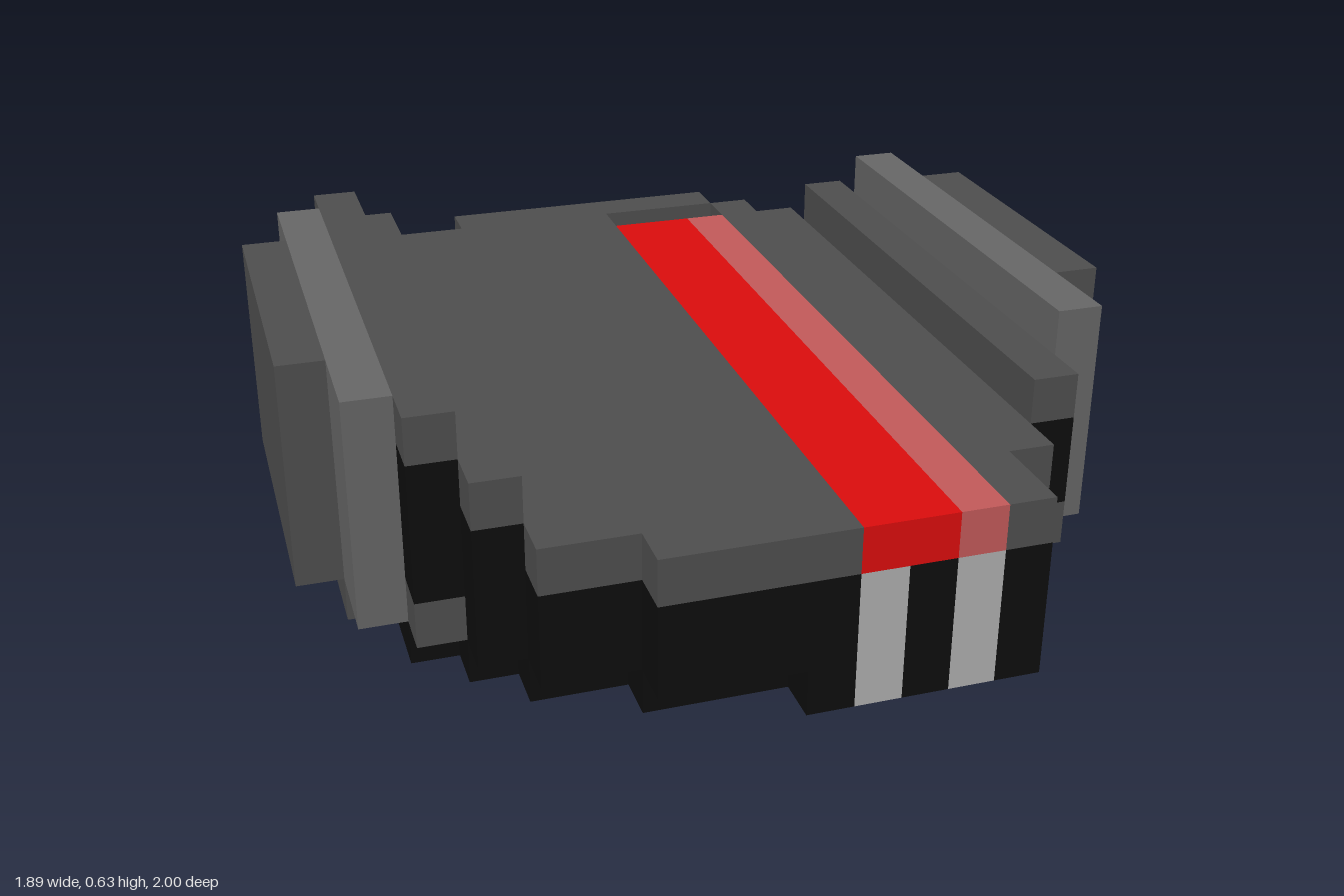
import * as THREE from 'three';

const U = 2 / 19; // size of one block

const mats = {};
const mat = (color) => (mats[color] ??= new THREE.MeshStandardMaterial({ color, flatShading: true }));
const GREY = 0x4f4f4f, LIGHT = 0x676767, BLACK = 0x0d0d0d, WHITE = 0xb0b0b0, RED = 0xdd0d0d, PINK = 0xc45a5a;

export function createModel() {
  const model = new THREE.Group();

  // Stepped slab from layer k0 to k1; each column is [x start, x end, z start, z end] in blocks
  function slab(name, color, k0, k1, ...columns) {
    const back = [], front = [];
    for (const [i0, i1, j0, j1] of columns) {
      back.push([i0, j0], [i1, j0]);
      front.push([i0, j1], [i1, j1]);
    }
    const outline = [...back, ...front.reverse()]
      .filter((p, n, a) => n === 0 || p[0] !== a[n - 1][0] || p[1] !== a[n - 1][1])
      .map(([i, j]) => new THREE.Vector2((i - 9) * U, (j - 9.5) * U));
    const geo = new THREE.ExtrudeGeometry(new THREE.Shape(outline), { depth: (k1 - k0) * U, bevelEnabled: false });
    geo.rotateX(Math.PI / 2).translate(0, k1 * U, 0);
    const mesh = new THREE.Mesh(geo, mat(color));
    mesh.name = name;
    model.add(mesh);
  }

  // Inset bottom layer, slotted for the pale runners
  slab('base', BLACK, 0, 1,
    [2, 3, 4, 15], [3, 4, 3, 16], [4, 6, 2, 17], [6, 9, 1, 18], [9, 10, 1, 19], [10, 11, 1, 2],
    [11, 12, 1, 19], [12, 13, 1, 2], [13, 14, 2, 19], [14, 15, 3, 16], [15, 16, 4, 15]);

  // Dark main body
  slab('body', BLACK, 1, 3,
    [3, 4, 2, 17], [4, 6, 1, 18], [6, 10, 0, 19], [10, 11, 0, 1],
    [11, 12, 0, 19], [12, 13, 0, 2], [13, 14, 1, 19], [14, 15, 2, 17]);

  // Pale runners in the body and under it
  slab('innerRunner', WHITE, 0, 1, [10, 11, 2, 19]);
  slab('innerRunnerUpper', WHITE, 1, 3, [10, 11, 1, 19]);
  slab('outerRunner', WHITE, 0, 3, [12, 13, 2, 19]);

  // Top plate around the stripe and the small pit behind it
  slab('topPlate', GREY, 3, 4, [4, 6, 1, 18], [6, 10, 0, 19], [10, 13, 0, 1]);
  slab('topPlateEdge', GREY, 3, 4, [13, 14, 1, 19], [14, 15, 2, 17]);
  slab('redStripe', RED, 3, 4, [10, 12, 2, 19]);
  slab('pinkStripe', PINK, 3, 4, [12, 13, 2, 19]);

  // Stepped shoulder on the right
  slab('rightStepWall', BLACK, 3, 4, [3, 4, 2, 17]);
  slab('rightStepTop', GREY, 4, 5, [3, 4, 2, 17]);

  // Side walls: shoulder row, light panel and outer pad
  for (const [side, row, panel, pad, top] of [['right', 2, 1, 0, 6], ['left', 15, 16, 17, 5]]) {
    slab(side + 'ShoulderFoot', GREY, 1, 2, [row, row + 1, 3, 16]);
    slab(side + 'ShoulderWall', BLACK, 2, top - 1, [row, row + 1, 3, 16]);
    slab(side + 'ShoulderTop', GREY, top - 1, top, [row, row + 1, 3, 16]);
    slab(side + 'PanelFoot', GREY, 0, 1, [panel, panel + 1, 6, 13]);
    slab(side + 'Panel', LIGHT, 1, 6, [panel, panel + 1, 4, 15]);
    slab(side + 'Pad', GREY, 1, 6, [pad, pad + 1, 6, 13]);
  }
  return model;
}
